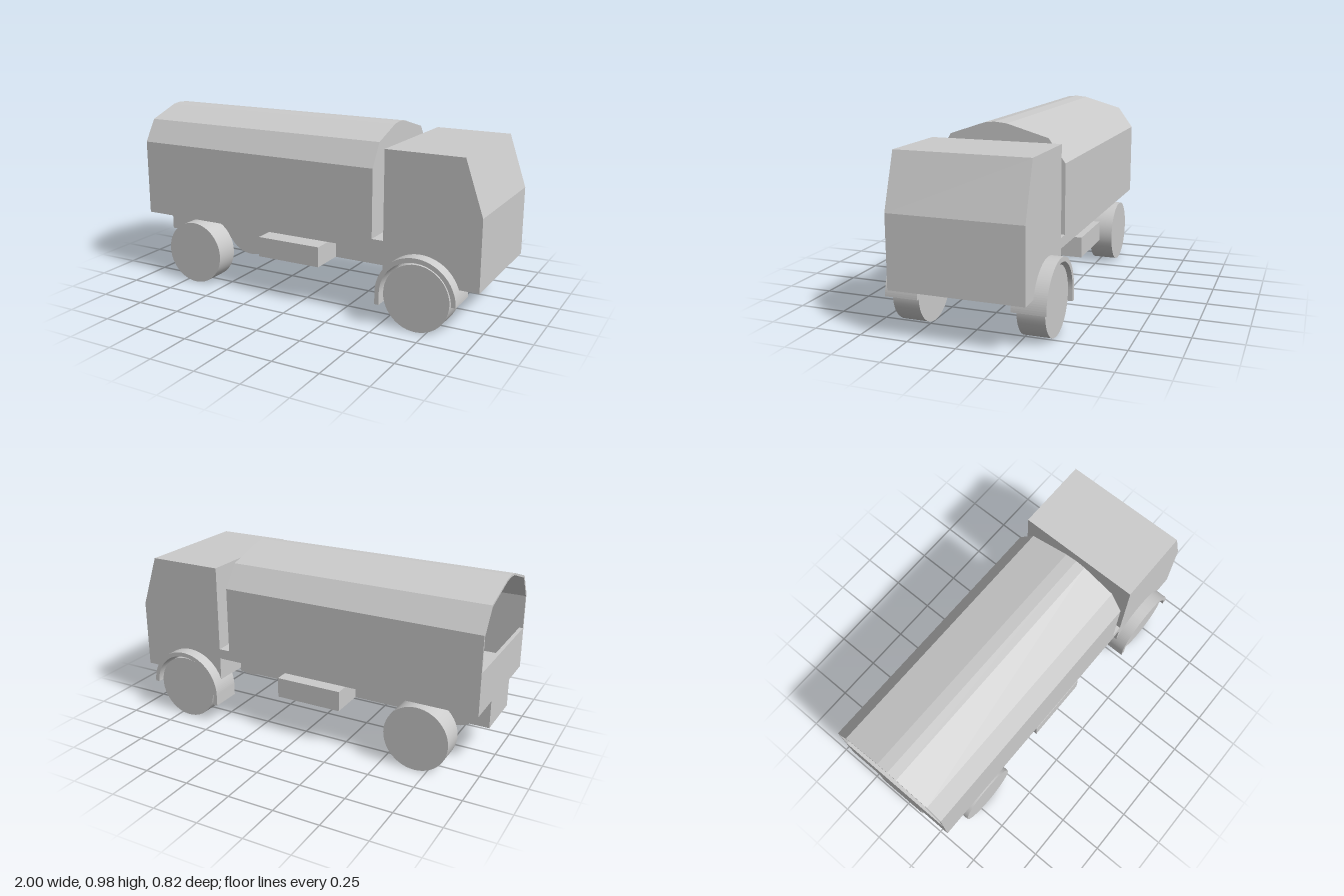
import * as THREE from 'three';

const material = new THREE.MeshStandardMaterial({ color: 0xcccccc, side: THREE.DoubleSide });
const flatMaterial = new THREE.MeshStandardMaterial({ color: 0xcccccc, flatShading: true, side: THREE.DoubleSide });

const WHEEL_Y = 0.177, FRONT_X = 0.695, REAR_X = -0.685, HALF = 0.343;

export function createModel() {
  const truck = new THREE.Group();
  truck.name = 'truck';

  const add = (name, geometry, mat = flatMaterial) => {
    const mesh = new THREE.Mesh(geometry, mat);
    mesh.name = name;
    truck.add(mesh);
    return mesh;
  };
  // Box given by its limits on each axis
  const box = (name, x0, x1, y0, y1, z0, z1) =>
    add(name, new THREE.BoxGeometry(x1 - x0, y1 - y0, z1 - z0)
      .translate((x0 + x1) / 2, (y0 + y1) / 2, (z0 + z1) / 2));
  const extrude = (shape, depth) =>
    new THREE.ExtrudeGeometry(shape, { depth, bevelEnabled: false, curveSegments: 32 });
  const toShape = (points) => new THREE.Shape(points.map(([a, b]) => new THREE.Vector2(a, b)));

  // Cab: side profile with the wheel arch cut out of its bottom edge
  const cutRadius = 0.2, cabBottom = 0.245;
  const angle = Math.asin((cabBottom - WHEEL_Y) / cutRadius);
  const cab = toShape([[0.493, cabBottom], [0.493, 0.895], [0.905, 0.895], [1, 0.615], [1, cabBottom]]);
  cab.absarc(FRONT_X, WHEEL_Y, cutRadius, angle, Math.PI - angle, false);
  cab.closePath();
  add('cab', extrude(cab, HALF * 2).translate(0, 0, -HALF));

  // Chassis beam and load floor
  box('chassis', -1, 0.495, 0.225, 0.375, -0.147, 0.147);
  box('loadFloor', -1, 0.495, 0.375, 0.43, -HALF, HALF);
  box('tailgate', -1, -0.98, 0.43, 0.6, -HALF, HALF);

  // Tarpaulin section as [z, y], with its ridge slightly off centre
  const section = [
    [HALF, 0.43], [HALF, 0.79], [0.27, 0.91], [0.085, 0.973], [0.03, 0.979],
    [-0.035, 0.973], [-0.255, 0.91], [-HALF, 0.79], [-HALF, 0.43],
  ];
  // The section runs along x, so z becomes the negative shape axis
  const outer = section.map(([z, y]) => [-z, y]);
  const inner = section.map(([z, y]) => [-z * 0.97, y === 0.43 ? y : y - 0.01]).reverse();
  add('cover', extrude(toShape([...outer, ...inner]), 1.43).rotateY(Math.PI / 2).translate(-1, 0, 0));
  add('coverFront', extrude(toShape(outer), 0.01).rotateY(Math.PI / 2).translate(0.42, 0, 0));

  // Front mudguard: half ring with a longer tail behind the wheel
  const ringOuter = 0.214, ringInner = 0.19;
  const guard = new THREE.Shape();
  guard.moveTo(FRONT_X + ringOuter, WHEEL_Y);
  guard.absarc(FRONT_X, WHEEL_Y, ringOuter, 0, Math.PI, false);
  guard.lineTo(FRONT_X - ringOuter, 0.115);
  guard.lineTo(FRONT_X - ringInner, 0.115);
  guard.absarc(FRONT_X, WHEEL_Y, ringInner, Math.PI, 0, true);
  guard.closePath();

  const wheel = (name, x, z0, z1) =>
    add(name, new THREE.CylinderGeometry(0.175, 0.175, z1 - z0, 48)
      .rotateX(Math.PI / 2).translate(x, WHEEL_Y, (z0 + z1) / 2), material);

  // Parts on both sides; the truck drives towards +x
  for (const [side, s] of [['front', 1], ['back', -1]]) {
    const span = (a, b) => (s > 0 ? [a, b] : [-b, -a]);
    wheel(`${side}SideSteeredWheel`, FRONT_X, ...span(0.25, 0.39));
    wheel(`${side}SideRearWheel`, REAR_X, ...span(0.213, 0.347));
    box(`${side}SideLocker`, -0.25, 0.12, 0.225, 0.335, ...span(0.147, 0.34));
    add(`${side}SideMudguard`, extrude(guard, 0.172).translate(0, 0, span(0.237, 0.409)[0]));
  }

  return truck;
}
